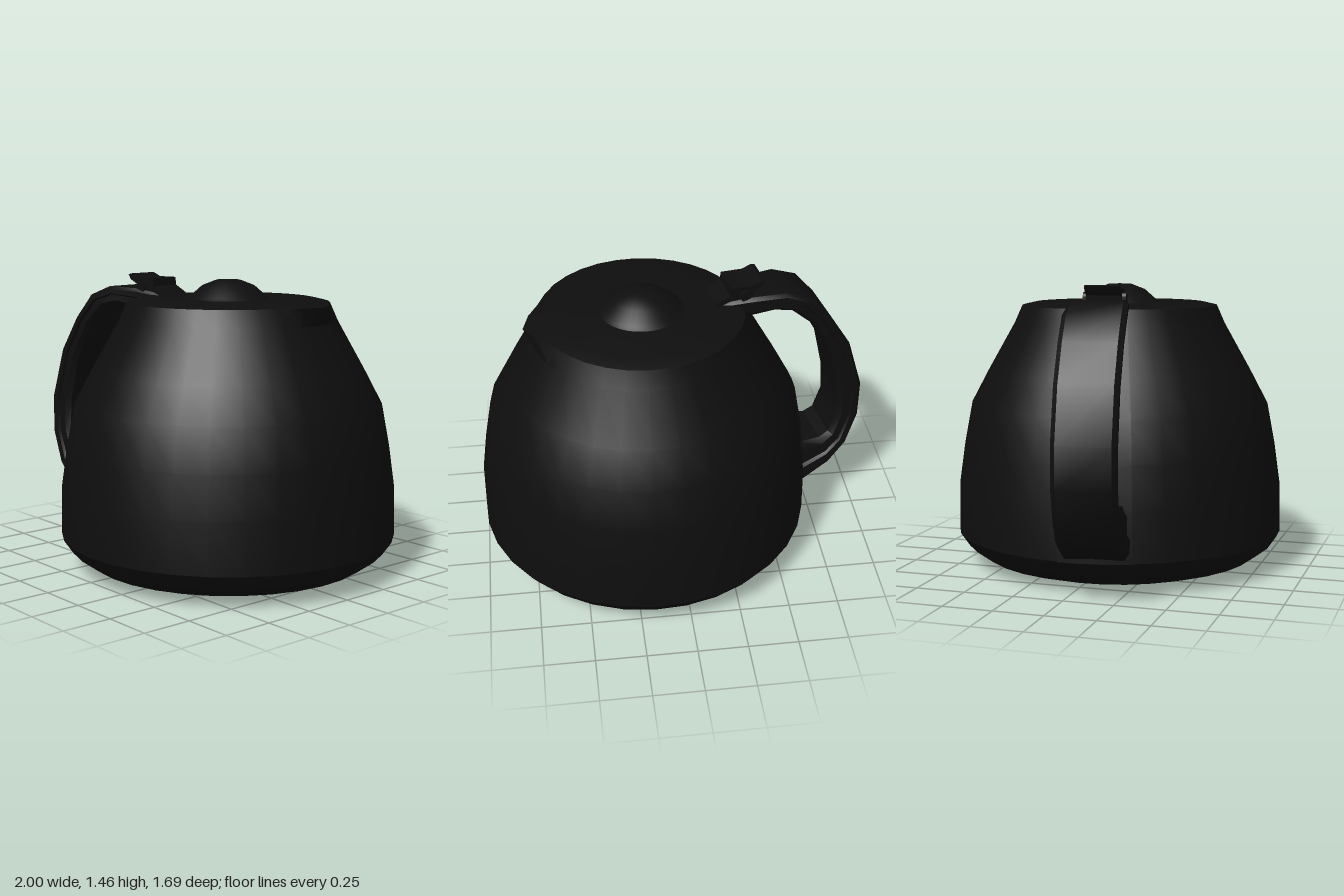
import * as THREE from 'three';
import { toCreasedNormals } from 'three/addons/utils/BufferGeometryUtils.js';

const black = new THREE.MeshStandardMaterial({ color: 0x0e0e0e });
black.name = 'black plastic';
const blackOpen = new THREE.MeshStandardMaterial({ color: 0x0e0e0e, side: THREE.DoubleSide });
blackOpen.name = 'black plastic';

const SIDES = 32;

function addMesh(parent, name, geometry, material = black) {
  const mesh = new THREE.Mesh(toCreasedNormals(geometry, 0.5), material);
  mesh.name = name;
  parent.add(mesh);
  return mesh;
}

function lathe(points, sides = SIDES, start = 0, length = Math.PI * 2) {
  return new THREE.LatheGeometry(points.map(([r, y]) => new THREE.Vector2(r, y)), sides, start, length);
}

// Pull the rim out towards +x to form the pouring lip
function pullSpout(geometry) {
  const p = geometry.attributes.position;
  for (let i = 0; i < p.count; i++) {
    const x = p.getX(i), z = p.getZ(i), r = Math.hypot(x, z);
    if (p.getY(i) < 1.3 || r < 0.48) continue;
    const push = 0.078 * Math.max(0, 1 - Math.abs(Math.atan2(z, x)) / 0.42);
    p.setX(i, x * (r + push) / r);
    p.setZ(i, z * (r + push) / r);
  }
  return geometry;
}

// Sweep a ribbed section between paired outer and inner points: [ox, oy, ix, iy, halfWidth]
function handleGeometry(stations) {
  const half = [[0, 0.85], [0.15, 1], [0.4, 1], [0.47, 0.92], [0.8, 0.92], [1, 0.78]];
  const ring = [[0, -0.85], ...half, ...half.slice(1).reverse().map(([u, w]) => [u, -w])];
  const n = ring.length, positions = [], index = [];
  stations.forEach(([ox, oy, ix, iy, hw], s) => {
    ring.forEach(([u, w], j) => {
      positions.push(ox + (ix - ox) * u, oy + (iy - oy) * u, w * hw);
      if (s === stations.length - 1) return;
      const a = s * n + j, c = s * n + (j + 1) % n;
      index.push(a, a + n, c, c, a + n, c + n);
    });
  });
  const g = new THREE.BufferGeometry();
  g.setAttribute('position', new THREE.Float32BufferAttribute(positions, 3));
  g.setIndex(index);
  return g;
}

export function createModel() {
  const model = new THREE.Group();
  model.name = 'coffeePot';

  // The pot sits off centre and is turned slightly so the spout points backwards
  const pot = new THREE.Group();
  pot.name = 'pot';
  pot.position.x = 0.155;
  pot.rotation.y = 0.157;
  model.add(pot);

  // Body
  addMesh(pot, 'base', lathe([[0, 0], [0.58, 0], [0.71, 0.04], [0.8, 0.105], [0.845, 0.17]]));
  const wall = [[0.845, 0.17], [0.84, 0.42], [0.81, 0.63], [0.77, 0.84], [0.68, 1.01], [0.545, 1.25], [0.505, 1.34]];
  addMesh(pot, 'body', pullSpout(lathe(wall)));

  // Lid and domed knob
  addMesh(pot, 'lid', pullSpout(lathe([[0.505, 1.34], [0.44, 1.355], [0, 1.355]])));
  addMesh(pot, 'lidKnob', lathe([[0.215, 1.35], [0.19, 1.367], [0.13, 1.42], [0.06, 1.447], [0, 1.45]]));

  // Raised strip behind the handle
  const strip = wall.map(([r, y]) => [r + 0.01, y]);
  strip.unshift([0.845, 0.165]);
  strip.push([0.5, 1.342]);
  addMesh(pot, 'handleStrip', lathe(strip, 4, Math.PI * 1.5 - 0.21, 0.42), blackOpen);

  // Handle
  addMesh(pot, 'handle', handleGeometry([
    [-0.36, 1.357, -0.4, 1.28, 0.085],
    [-0.52, 1.385, -0.55, 1.28, 0.12],
    [-0.71, 1.39, -0.65, 1.3, 0.14],
    [-0.84, 1.34, -0.74, 1.285, 0.15],
    [-0.945, 1.22, -0.85, 1.19, 0.15],
    [-1.06, 1.04, -0.965, 0.99, 0.15],
    [-1.145, 0.77, -1.02, 0.76, 0.15],
    [-1.145, 0.57, -1.03, 0.6, 0.15],
    [-1.09, 0.39, -0.99, 0.48, 0.15],
    [-1.0, 0.28, -0.94, 0.45, 0.155],
    [-0.81, 0.17, -0.81, 0.45, 0.17],
  ]), blackOpen);

  // Thumb lever and its hinge
  const side = new THREE.Shape([
    [-0.35, 1.35], [-0.36, 1.365], [-0.425, 1.4], [-0.43, 1.44], [-0.54, 1.44], [-0.585, 1.46],
    [-0.605, 1.455], [-0.59, 1.43], [-0.55, 1.41], [-0.54, 1.35],
  ].map(([x, y]) => new THREE.Vector2(x, y)));
  const lever = new THREE.ExtrudeGeometry(side, { depth: 0.17, bevelEnabled: false });
  addMesh(pot, 'thumbLever', lever.translate(0, 0, -0.085));
  const pin = addMesh(pot, 'hingePin', new THREE.CylinderGeometry(0.028, 0.028, 0.21, 10));
  pin.rotation.x = Math.PI / 2;
  pin.position.set(-0.5, 1.395, 0);

  return model;
}
